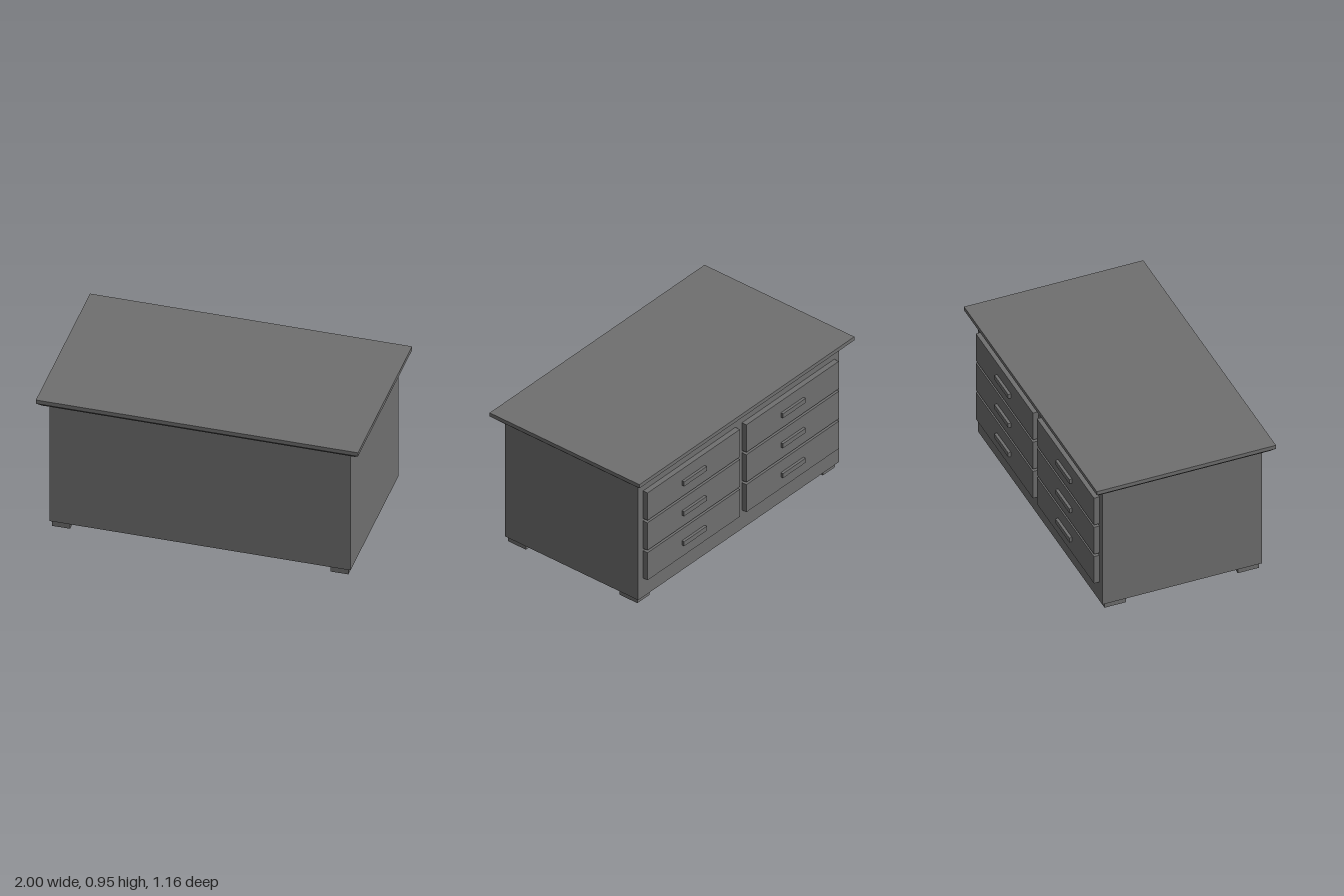
import * as THREE from 'three';

const material = new THREE.MeshStandardMaterial({ color: 0x6f6f6f, flatShading: true });

// Box given by its limits on each axis
function block(name, [x0, x1], [y0, y1], [z0, z1]) {
  const geometry = new THREE.BoxGeometry(x1 - x0, y1 - y0, z1 - z0);
  const mesh = new THREE.Mesh(geometry, material);
  mesh.position.set((x0 + x1) / 2, (y0 + y1) / 2, (z0 + z1) / 2);
  mesh.name = name;
  return mesh;
}

// Pull in the lower edge of a box to make a chamfered moulding
function chamferBottom(mesh, inset) {
  const p = mesh.geometry.attributes.position;
  for (let i = 0; i < p.count; i++) {
    if (p.getY(i) > 0) continue;
    p.setX(i, p.getX(i) - Math.sign(p.getX(i)) * inset);
    p.setZ(i, p.getZ(i) - Math.sign(p.getZ(i)) * inset);
  }
  mesh.geometry.computeVertexNormals();
  return mesh;
}

// Drawer front with its bar handle, facing -z
function createDrawer(x, y) {
  const drawer = new THREE.Group();
  drawer.name = 'drawer';
  drawer.add(
    block('drawerFront', [-0.43, 0.43], [-0.1, 0.1], [-0.553, -0.517]),
    block('handle', [-0.1, 0.11], [-0.016, 0.016], [-0.571, -0.553])
  );
  drawer.position.set(x, y, 0);
  return drawer;
}

export function createModel() {
  const desk = new THREE.Group();
  desk.name = 'desk';

  // Cabinet and overhanging top
  desk.add(block('cabinet', [-0.935, 0.935], [0.04, 0.893], [-0.518, 0.518]));
  desk.add(block('topSlab', [-1, 1], [0.92, 0.946], [-0.582, 0.582]));
  desk.add(chamferBottom(block('topMoulding', [-1, 1], [0.893, 0.92], [-0.582, 0.582]), 0.028));

  // Two columns of three drawers on the back
  for (const x of [-0.46, 0.46]) {
    for (let row = 0; row < 3; row++) desk.add(createDrawer(x, 0.277 + row * 0.218));
  }

  // Four short feet
  for (const x of [[-0.92, -0.809], [0.807, 0.918]]) {
    for (const z of [[-0.497, -0.358], [0.369, 0.507]]) desk.add(block('foot', x, [0, 0.04], z));
  }
  return desk;
}
